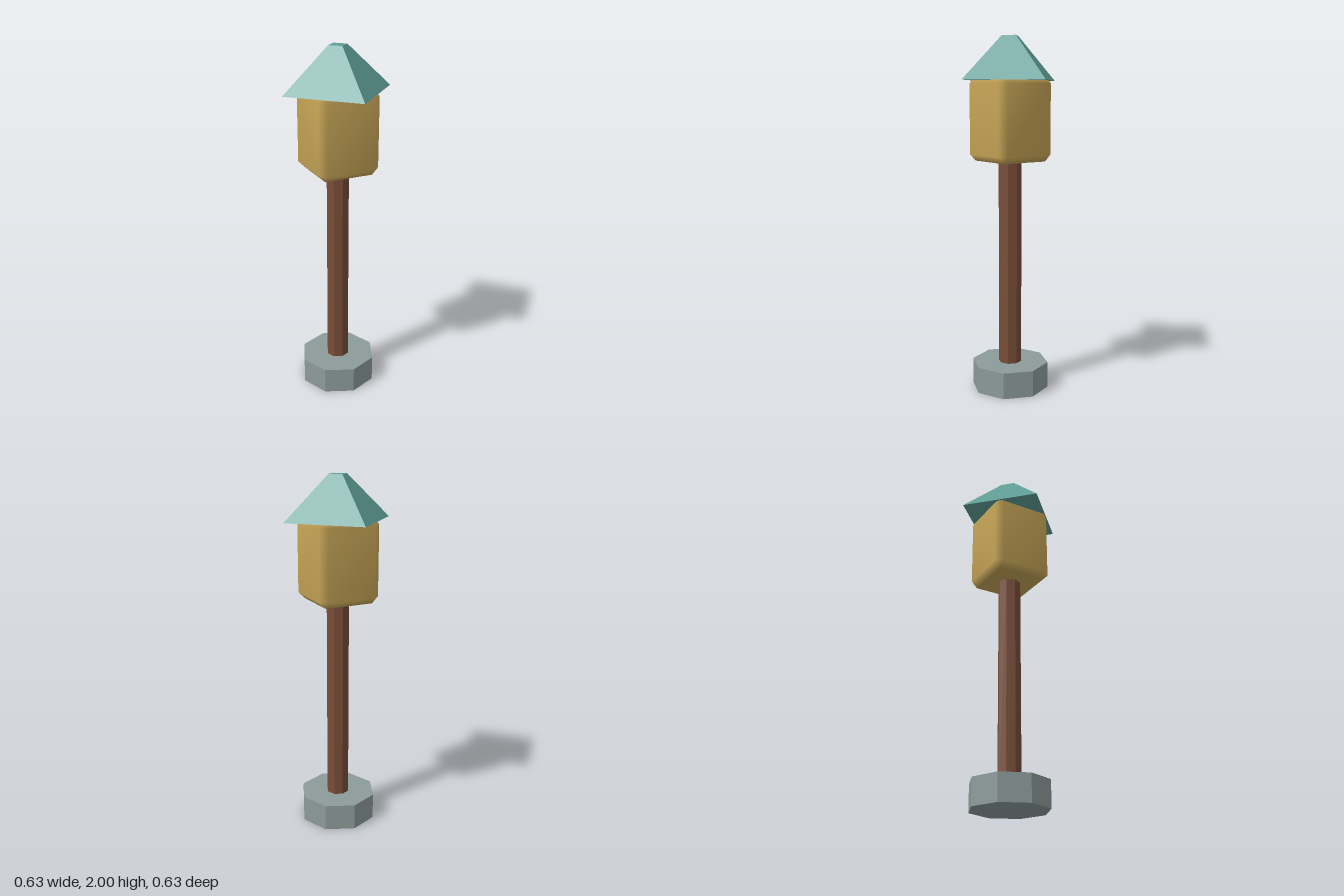
import * as THREE from 'three';
import { ConvexGeometry } from 'three/addons/geometries/ConvexGeometry.js';
import { mergeVertices } from 'three/addons/utils/BufferGeometryUtils.js';

function material(name, color, flatShading = true) {
  const m = new THREE.MeshStandardMaterial({ color, flatShading });
  m.name = name;
  return m;
}

// Box with every edge chamfered and softly blended normals
function chamferedBox(w, h, d, c) {
  const points = [];
  for (const sx of [-1, 1]) for (const sy of [-1, 1]) for (const sz of [-1, 1]) {
    for (let axis = 0; axis < 3; axis++) {
      const inset = [c, c, c];
      inset[axis] = 0;
      points.push(new THREE.Vector3(
        sx * (w / 2 - inset[0]), sy * (h / 2 - inset[1]), sz * (d / 2 - inset[2])));
    }
  }
  let geometry = new ConvexGeometry(points);
  geometry.deleteAttribute('normal');
  geometry = mergeVertices(geometry, 1e-4);
  geometry.computeVertexNormals();
  return geometry;
}

export function createModel() {
  const model = new THREE.Group();
  model.name = 'lampPost';

  // Places a part between two heights
  const add = (name, geometry, mat, bottom, top) => {
    const mesh = new THREE.Mesh(geometry, mat);
    mesh.name = name;
    mesh.position.y = (bottom + top) / 2;
    model.add(mesh);
  };
  const prism = (rTop, rBottom, bottom, top, sides) =>
    new THREE.CylinderGeometry(rTop, rBottom, top - bottom, sides);

  // Octagonal stone foot
  add('base', prism(0.22, 0.22, 0, 0.15, 8), material('stone', 0x8c9b9a), 0, 0.15);
  // Wooden post, sunk into the foot and the lantern
  add('post', prism(0.065, 0.065, 0.01, 1.36, 8), material('wood', 0x784d38), 0.01, 1.36);
  // Glowing lantern body
  add('lantern', chamferedBox(0.352, 0.465, 0.352, 0.037), material('amber', 0xc4a355, false), 1.315, 1.78);
  // Four-sided roof with its corners on the axes
  add('roof', prism(0.055, 0.315, 1.76, 2, 4), material('teal', 0x5f9f97), 1.76, 2);

  return model;
}
